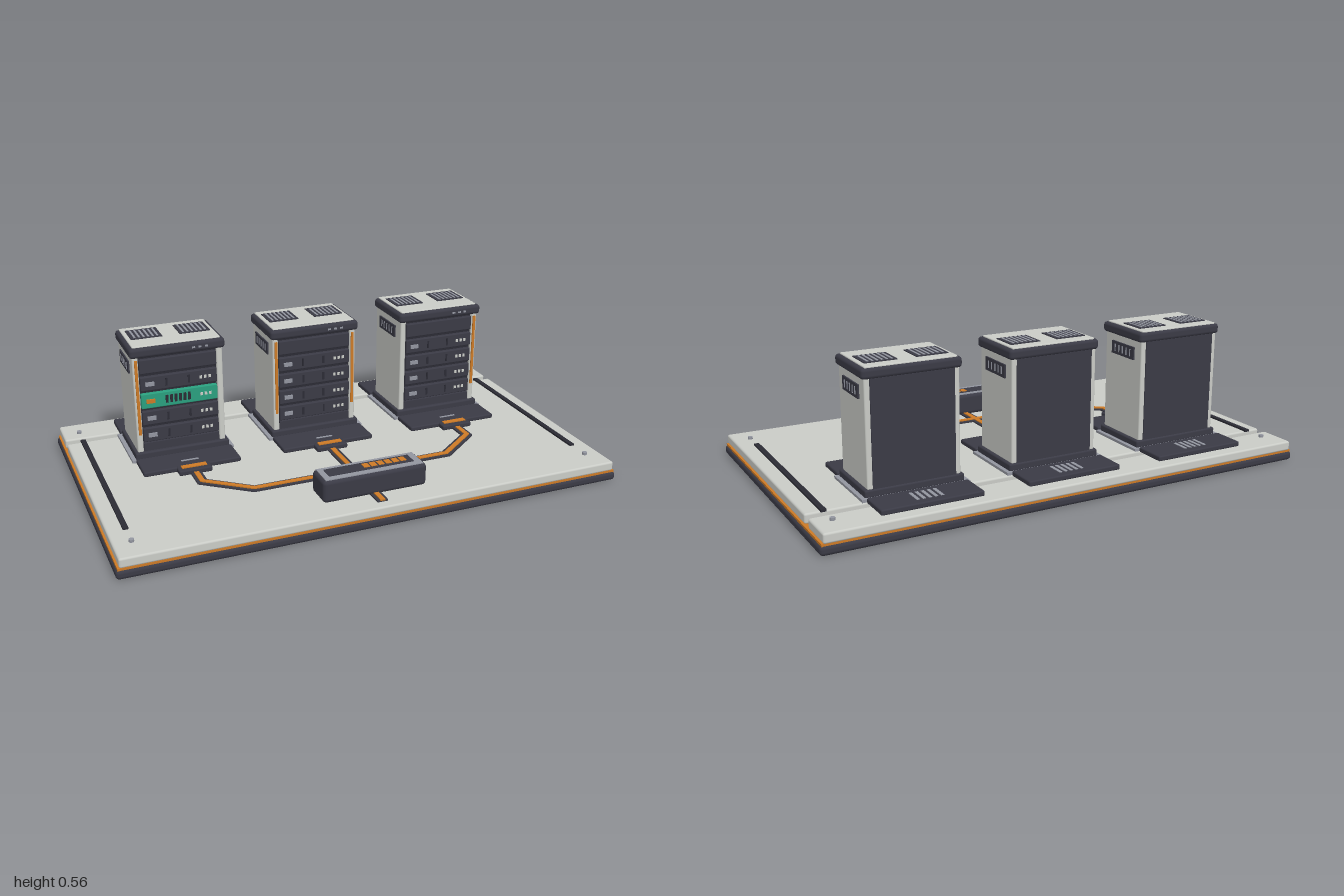
import * as THREE from 'three';
import { RoundedBoxGeometry } from 'three/addons/geometries/RoundedBoxGeometry.js';

const paint = (name, color) => {
  const m = new THREE.MeshStandardMaterial({ color });
  m.name = name;
  return m;
};

export function createModel() {
  const shell = paint('pale grey shell', 0xc9cbc6);
  const dark = paint('charcoal', 0x3a3a45);
  const black = paint('deep charcoal', 0x2b2b34);
  const grey = paint('steel grey', 0x92959f);
  const orange = paint('orange', 0xcc7a26);
  const green = paint('green', 0x2a9f7e);

  const model = new THREE.Group();
  model.name = 'serverPlatform';

  // Box given by its lower and upper limits on each axis; r rounds the edges
  function block(parent, name, mat, [x0, x1], [y0, y1], [z0, z1], r = 0) {
    const s = [x1 - x0, y1 - y0, z1 - z0];
    const geo = r ? new RoundedBoxGeometry(...s, 2, r) : new THREE.BoxGeometry(...s);
    const mesh = new THREE.Mesh(geo, mat);
    mesh.name = name;
    mesh.position.set((x0 + x1) / 2, (y0 + y1) / 2, (z0 + z1) / 2);
    parent.add(mesh);
    return mesh;
  }

  // Platform: dark foot, orange seam and two pale deck slabs with a gap
  block(model, 'platformFoot', dark, [-1, 1], [0, 0.036], [-0.59, 0.59], 0.014);
  block(model, 'orangeSeam', orange, [-0.993, 0.993], [0.03, 0.043], [-0.583, 0.583]);
  block(model, 'frontDeck', shell, [-0.987, 0.987], [0.042, 0.08], [-0.398, 0.585], 0.008);
  block(model, 'rearDeck', shell, [-0.987, 0.987], [0.042, 0.08], [-0.588, -0.436], 0.008);

  // Deck rails and corner screws
  for (const side of [-1, 1]) {
    const x = side * 0.92;
    block(model, 'deckRail', black, [x - 0.01, x + 0.01], [0.078, 0.087], [-0.405, 0.395]);
    for (const z of [-0.49, 0.483]) {
      const screw = new THREE.Mesh(new THREE.CylinderGeometry(0.01, 0.01, 0.012, 12), grey);
      screw.name = 'deckScrew';
      screw.position.set(x, 0.084, z);
      model.add(screw);
    }
  }

  // Flat ribbon following a path on the deck, with mitred corners
  function ribbon(name, mat, path, width, y0, y1) {
    const pts = path.map(p => new THREE.Vector2(p[0], -p[1]));
    const edge = [[], []];
    pts.forEach((p, i) => {
      const a = p.clone().sub(pts[Math.max(i - 1, 0)]).normalize();
      const b = pts[Math.min(i + 1, pts.length - 1)].clone().sub(p).normalize();
      const t = a.clone().add(b).normalize();
      const n = new THREE.Vector2(-t.y, t.x);
      const ref = a.lengthSq() ? a : b;
      const w = width / 2 / Math.abs(t.dot(ref));
      edge[0].push(p.clone().addScaledVector(n, w));
      edge[1].unshift(p.clone().addScaledVector(n, -w));
    });
    const geo = new THREE.ExtrudeGeometry(new THREE.Shape([...edge[0], ...edge[1]]),
      { depth: y1 - y0, bevelEnabled: false });
    geo.rotateX(-Math.PI / 2);
    geo.translate(0, y0, 0);
    const mesh = new THREE.Mesh(geo, mat);
    mesh.name = name;
    model.add(mesh);
  }

  // Cable channels joining the racks to the hub
  const routes = [[[0, 0.05], [0, 0.545]]];
  for (const s of [-1, 1]) {
    routes.push([[s * 0.57, 0.05], [s * 0.57, 0.145], [s * 0.405, 0.275], [0, 0.275]]);
  }
  routes.forEach((path, i) => {
    ribbon('cableChannel', dark, path, 0.042, 0.078, 0.086 + i * 0.0003);
    ribbon('cableCore', orange, path, 0.019, 0.08, 0.09 + i * 0.0003);
  });

  // Control hub
  const hub = new THREE.Group();
  hub.name = 'controlHub';
  model.add(hub);
  block(hub, 'hubBody', dark, [-0.21, 0.21], [0.08, 0.17], [0.366, 0.486], 0.016);
  block(hub, 'hubTop', grey, [-0.198, 0.198], [0.165, 0.172], [0.376, 0.476]);
  block(hub, 'hubScreen', dark, [-0.175, 0.17], [0.17, 0.174], [0.394, 0.452]);
  for (let i = 0; i < 6; i++) {
    const x = -0.027 + i * 0.03;
    block(hub, 'hubLight', orange, [x, x + 0.024], [0.172, 0.176], [0.405, 0.437]);
  }

  // One server rack; greenRow picks a highlighted unit, strips the lit pillars
  function rack(x, greenRow, strips) {
    const g = new THREE.Group();
    g.name = 'serverRack';
    g.position.x = x;
    model.add(g);

    // Floor plates, connector and plinth
    block(g, 'frontPlate', dark, [-0.195, 0.195], [0.079, 0.099], [-0.112, 0.022], 0.006);
    block(g, 'rearPlate', dark, [-0.195, 0.195], [0.079, 0.1], [-0.538, -0.404], 0.006);
    block(g, 'frontPlateMark', grey, [-0.035, 0.035], [0.098, 0.101], [-0.033, -0.024]);
    for (let i = -2; i <= 2; i++) {
      block(g, 'rearPlateSlot', grey, [i * 0.023 - 0.006, i * 0.023 + 0.006],
        [0.099, 0.102], [-0.507, -0.435]);
    }
    block(g, 'connector', dark, [-0.066, 0.066], [0.079, 0.1], [0.012, 0.064], 0.006);
    block(g, 'connectorPad', orange, [-0.05, 0.05], [0.098, 0.104], [0.02, 0.043]);
    block(g, 'rackPad', grey, [-0.208, 0.208], [0.079, 0.09], [-0.396, -0.116]);
    block(g, 'plinth', dark, [-0.192, 0.192], [0.086, 0.116], [-0.384, -0.122], 0.007);

    // Cabinet: dark core, pale side walls, dark back panel
    block(g, 'cabinetCore', black, [-0.165, 0.165], [0.11, 0.515], [-0.37, -0.146]);
    block(g, 'backPanel', dark, [-0.16, 0.16], [0.116, 0.512], [-0.38, -0.37]);
    for (const s of [-1, 1]) {
      const span = (a, b) => (s > 0 ? [a, b] : [-b, -a]);
      block(g, 'sideWall', shell, span(0.156, 0.18), [0.113, 0.515], [-0.377, -0.133], 0.006);
      block(g, 'sideVent', dark, span(0.178, 0.186), [0.433, 0.484], [-0.332, -0.183]);
      for (let i = -2; i <= 2; i++) {
        const z = -0.2575 + i * 0.025;
        block(g, 'sideVentSlit', grey, span(0.184, 0.188), [0.444, 0.473], [z - 0.003, z + 0.003]);
      }
      if (strips.includes(s)) {
        block(g, 'lightStrip', orange, span(0.161, 0.172), [0.19, 0.5], [-0.136, -0.128]);
      }
    }

    // Roof with two grilles
    block(g, 'roof', dark, [-0.19, 0.19], [0.51, 0.55], [-0.384, -0.121], 0.013);
    block(g, 'roofCap', shell, [-0.175, 0.175], [0.545, 0.555], [-0.374, -0.137], 0.004);
    for (const s of [-1, 1]) {
      const c = s * 0.097;
      block(g, 'roofGrille', dark, [c - 0.062, c + 0.062], [0.553, 0.558], [-0.332, -0.22]);
      for (let i = 0; i < 6; i++) {
        const gx = c - 0.045 + i * 0.018;
        block(g, 'roofSlit', grey, [gx - 0.004, gx + 0.004], [0.556, 0.56], [-0.322, -0.23]);
      }
    }
    for (let i = 0; i < 3; i++) {
      const dx = 0.055 + i * 0.026;
      block(g, 'roofLight', grey, [dx, dx + 0.013], [0.526, 0.533], [-0.123, -0.119]);
    }

    // Stacked units; the top one is blank
    for (let row = 0; row < 5; row++) {
      const y = 0.185 + row * 0.0715;
      const lit = row === greenRow;
      const h = lit ? 0.031 : 0.029;
      block(g, 'serverUnit', lit ? green : dark, [-0.154, 0.154], [y - h, y + h], [-0.15, -0.13], 0.004);
      if (row === 4) continue;
      block(g, 'unitHandle', lit ? orange : grey, [-0.135, -0.1], [y - 0.008, y + 0.008], [-0.132, -0.124]);
      for (let i = 0; i < (lit ? 6 : 2); i++) {
        const sx = lit ? -0.058 + i * 0.018 : -0.055 + i * 0.09;
        block(g, 'unitSlot', black, [sx, sx + (lit ? 0.011 : 0.008)], [y - 0.016, y + 0.016], [-0.132, -0.128]);
      }
      for (let i = 0; i < 3; i++) {
        const lx = 0.082 + i * 0.018;
        block(g, 'unitLight', shell, [lx, lx + 0.01], [y - 0.006, y + 0.006], [-0.132, -0.127]);
      }
    }
    // Bottom blank unit
    block(g, 'lowerUnit', dark, [-0.154, 0.154], [0.117, 0.15], [-0.15, -0.134]);
  }

  rack(-0.57, 2, [-1]);
  rack(0, -1, [-1, 1]);
  rack(0.57, -1, [1]);
  return model;
}
